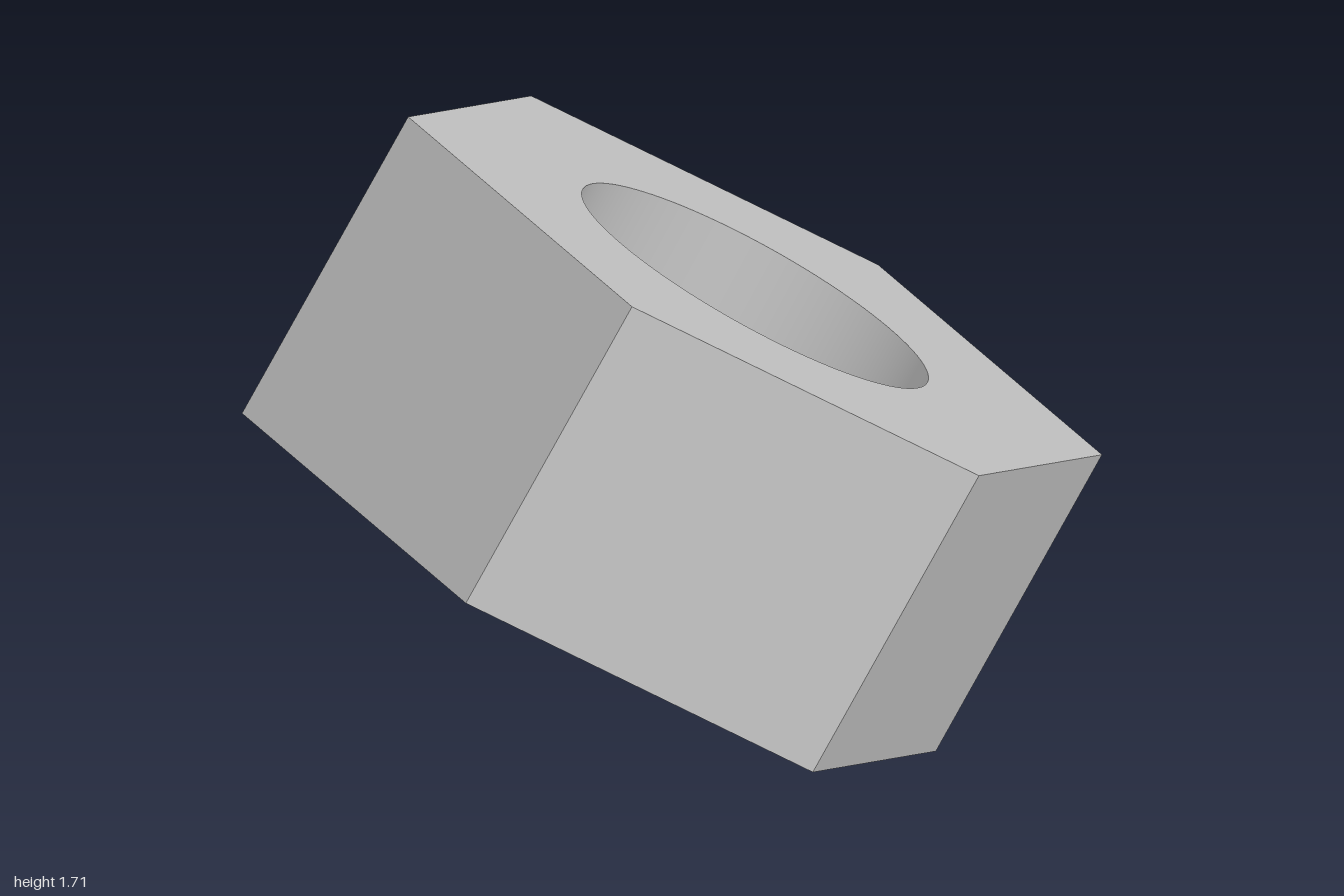
import * as THREE from 'three';
import { toCreasedNormals } from 'three/addons/utils/BufferGeometryUtils.js';

const RADIUS = 1;                    // centre to hexagon corner
const BORE = 0.493;                  // bore radius
const THICKNESS = 0.866;
const TILT = Math.atan(Math.SQRT1_2); // lean of the bore axis towards +x

export function createModel() {
  const group = new THREE.Group();
  group.name = 'hexNut';
  const steel = new THREE.MeshStandardMaterial({ color: 0xc0c0c0 });
  steel.name = 'plain grey';

  // Hexagon with two corners on the z axis after laying it flat
  const corners = [];
  for (let i = 0; i < 6; i++) {
    const a = Math.PI / 2 + (i * Math.PI) / 3;
    corners.push(new THREE.Vector2(RADIUS * Math.cos(a), RADIUS * Math.sin(a)));
  }
  const shape = new THREE.Shape(corners);

  // Round through-hole
  const hole = new THREE.Path();
  hole.absarc(0, 0, BORE, 0, Math.PI * 2, true);
  shape.holes.push(hole);

  // Extrude, lay flat, then tip the axis over and rest the lower edge on the ground
  let geometry = new THREE.ExtrudeGeometry(shape, {
    depth: THICKNESS, bevelEnabled: false, curveSegments: 48,
  });
  geometry.translate(0, 0, -THICKNESS / 2);
  geometry.rotateX(-Math.PI / 2);
  geometry.rotateZ(-TILT);
  geometry.computeBoundingBox();
  geometry.translate(0, -geometry.boundingBox.min.y, 0);

  // Smooth bore, sharp hexagon edges
  geometry = toCreasedNormals(geometry, 0.5);
  geometry.clearGroups();

  const nut = new THREE.Mesh(geometry, steel);
  nut.name = 'nutBody';
  group.add(nut);
  return group;
}
